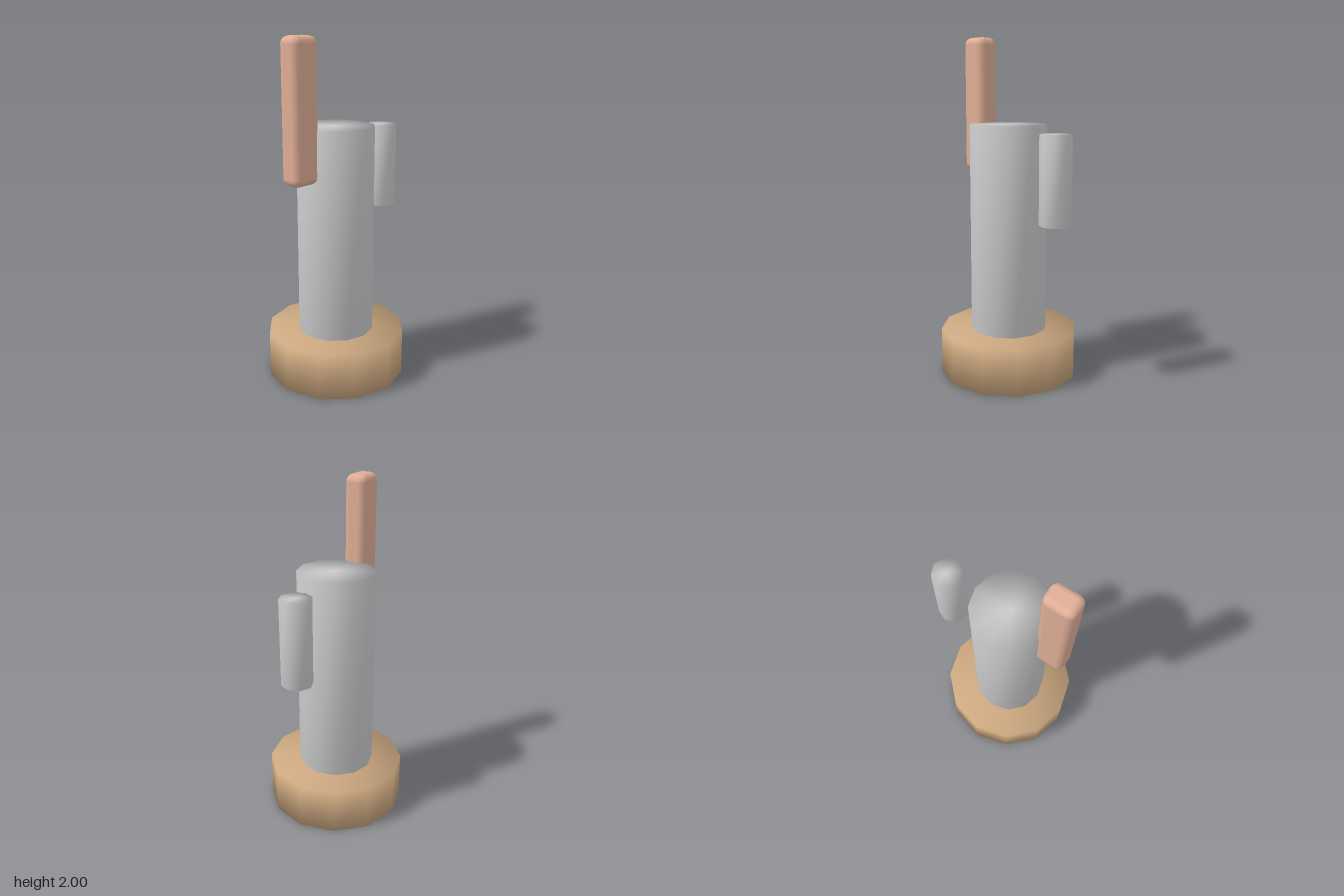
import * as THREE from 'three';
import { mergeVertices } from 'three/addons/utils/BufferGeometryUtils.js';
import { RoundedBoxGeometry } from 'three/addons/geometries/RoundedBoxGeometry.js';

// Low-poly cylinder whose normals blend smoothly over the rims
function softCylinder(radius, height, sides) {
  const geometry = new THREE.CylinderGeometry(radius, radius, height, sides);
  geometry.deleteAttribute('normal');
  geometry.deleteAttribute('uv');
  const merged = mergeVertices(geometry, 1e-4);
  merged.computeVertexNormals();
  return merged;
}

export function createModel() {
  const model = new THREE.Group();
  const grey = new THREE.MeshStandardMaterial({ color: 0xcccccc });
  const tan = new THREE.MeshStandardMaterial({ color: 0xcca880 });
  const pink = new THREE.MeshStandardMaterial({ color: 0xe0ae96 });

  const add = (name, geometry, material, x, y) => {
    const mesh = new THREE.Mesh(geometry, material);
    mesh.name = name;
    mesh.position.set(x, y, 0);
    model.add(mesh);
  };

  // Wide foot and the column standing on it
  add('base', softCylinder(0.41, 0.275, 12), tan, -0.045, 0.1375);
  add('column', softCylinder(0.227, 1.225, 12), grey, -0.045, 0.8875);

  // Short free cylinder beside the column
  add('sideCylinder', softCylinder(0.09, 0.5, 8), grey, 0.365, 1.215);

  // Upright bevelled bar on the other side
  add('uprightBar', new RoundedBoxGeometry(0.18, 0.795, 0.133, 2, 0.042), pink, -0.32, 1.6025);

  return model;
}
